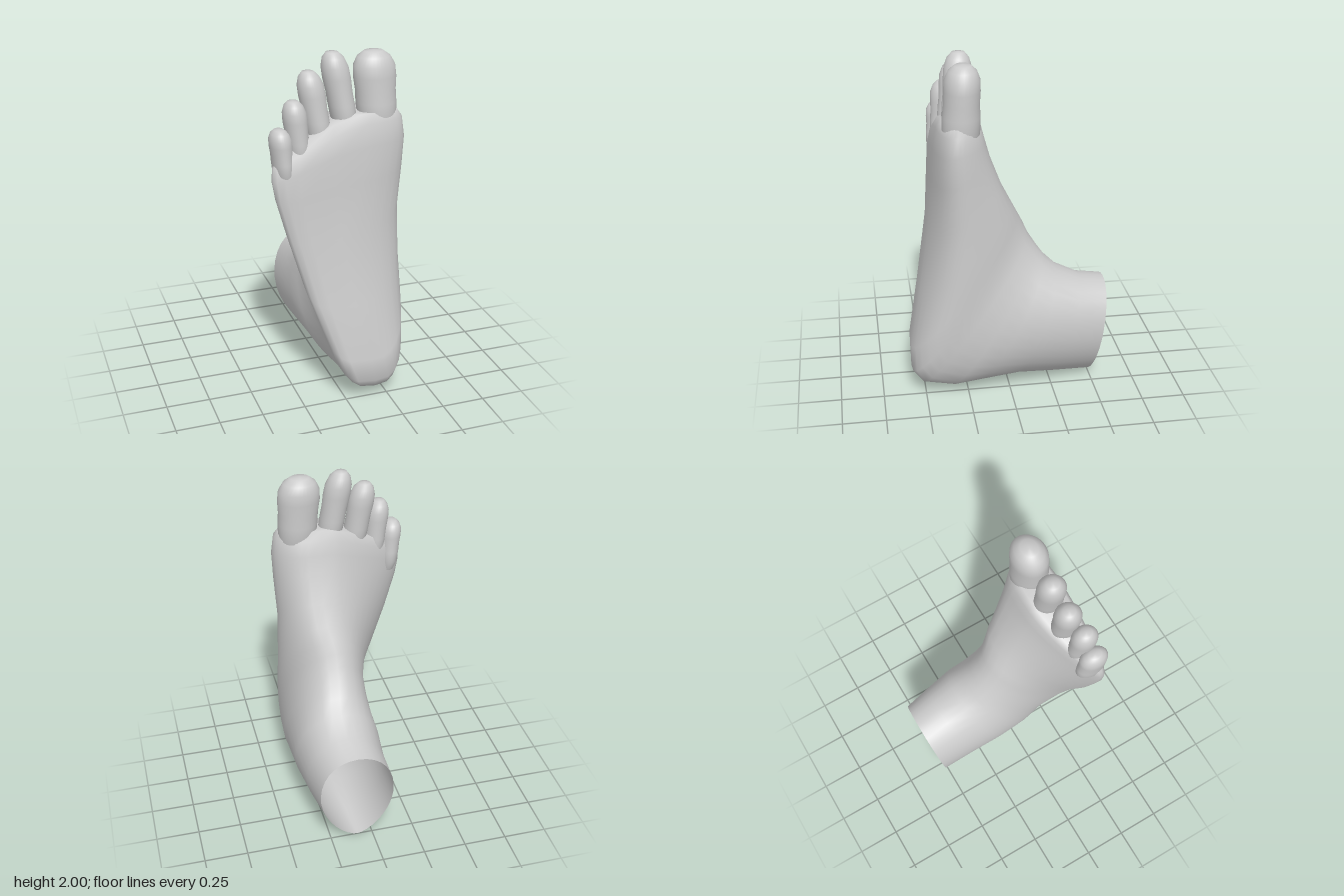
import * as THREE from 'three';

const SEG = 32;
const material = new THREE.MeshStandardMaterial({ color: 0xcccccc, side: THREE.DoubleSide });

// Skin a list of rings (each SEG points) with smooth normals and a closing tip
function loft(name, rings, tip) {
  const pos = [...rings.flat(), tip].flatMap(p => [p.x, p.y, p.z]);
  const index = [];
  for (let i = 0; i < rings.length; i++) {
    for (let j = 0; j < SEG; j++) {
      const k = (j + 1) % SEG;
      const a = i * SEG + j, b = i * SEG + k, c = a + SEG, d = b + SEG;
      if (i < rings.length - 1) index.push(a, c, b, b, c, d);
      else index.push(a, rings.length * SEG, b);
    }
  }
  const geometry = new THREE.BufferGeometry();
  geometry.setAttribute('position', new THREE.Float32BufferAttribute(pos, 3));
  geometry.setIndex(index);
  geometry.computeVertexNormals();
  const mesh = new THREE.Mesh(geometry, material);
  mesh.name = name;
  return mesh;
}

// Sections fan from the ankle opening round the heel to the ball of the foot.
// instep y, z, centre x, half width | sole y, z, centre x, half width
const SECTIONS = [
  [0.63, -0.58, 0.11, 0.24, 0.00, -0.50, 0.09, 0.19],
  [0.66, -0.43, 0.13, 0.25, 0.02, -0.28, 0.11, 0.22],
  [0.73, -0.29, 0.13, 0.26, 0.05, -0.05, 0.13, 0.25],
  [0.80, -0.22, 0.12, 0.25, 0.04, 0.18, 0.15, 0.25],
  [0.87, -0.17, 0.11, 0.25, 0.035, 0.35, 0.18, 0.23],
  [0.95, -0.12, 0.11, 0.25, 0.07, 0.52, 0.17, 0.23],
  [1.02, -0.09, 0.11, 0.25, 0.14, 0.578, 0.15, 0.25],
  [1.08, -0.06, 0.12, 0.25, 0.28, 0.58, 0.12, 0.28],
  [1.16, -0.02, 0.14, 0.23, 0.60, 0.515, 0.05, 0.345],
  [1.28, 0.04, 0.15, 0.215, 1.00, 0.45, -0.015, 0.405],
  [1.44, 0.10, 0.15, 0.215, 1.30, 0.43, -0.045, 0.455],
  [1.55, 0.13, 0.14, 0.22, 1.50, 0.42, -0.05, 0.47],
  [1.63, 0.15, 0.13, 0.21, 1.62, 0.40, -0.05, 0.46],
  [1.68, 0.18, 0.12, 0.18, 1.67, 0.37, -0.04, 0.42],
];
// Roundness of instep, outer sole edge and inner sole edge (arch), and slant of the toe line
const ROUNDNESS = [
  [0.95, 1.25, 1.25, 0], [0.95, 1.2, 1.2, 0], [0.95, 1.05, 1.05, 0], [0.95, 0.88, 0.9, 0],
  [0.95, 0.75, 0.8, 0], [0.95, 0.6, 0.68, 0], [0.92, 0.55, 0.68, 0], [0.9, 0.5, 0.8, 0],
  [0.82, 0.5, 1.15, 0], [0.76, 0.52, 1.0, 0.2], [0.72, 0.52, 0.7, 0.45], [0.68, 0.52, 0.55, 0.8],
  [0.65, 0.52, 0.55, 1], [0.68, 0.58, 0.6, 1],
];

function sectionRing([dy, dz, dx, dw, sy, sz, sx, sw], i) {
  const [instep, outer, inner, slant] = ROUNDNESS[i];
  return Array.from({ length: SEG }, (_, j) => {
    const a = j / SEG * Math.PI * 2, s = Math.sin(a);
    const t = (1 - Math.cos(a)) / 2;
    const mix = (p, q) => p + (q - p) * t;
    const power = t < 0.5 ? instep : s > 0 ? inner : outer;
    const x = mix(dx, sx) + mix(dw, sw) * Math.sign(s) * Math.pow(Math.abs(s), power);
    // toe line falls away towards the little toe
    const drop = slant * 0.5 * Math.pow(Math.max(0, 0.08 - x), 1.15);
    return new THREE.Vector3(x, mix(dy, sy) - drop, mix(dz, sz));
  });
}

// name, root (x, y, z), tip (x, y, z), half width, half depth
const TOES = [
  ['bigToe', [0.25, 1.52, 0.275], [0.225, 1.99, 0.252], 0.12, 0.1],
  ['secondToe', [0.07, 1.52, 0.28], [-0.01, 2.0, 0.25], 0.077, 0.08],
  ['thirdToe', [-0.08, 1.46, 0.295], [-0.15, 1.91, 0.265], 0.074, 0.076],
  ['fourthToe', [-0.21, 1.39, 0.32], [-0.25, 1.77, 0.315], 0.066, 0.075],
  ['littleToe', [-0.305, 1.32, 0.33], [-0.332, 1.625, 0.33], 0.062, 0.082],
];
// position along toe, relative width, relative depth
const TOE_PROFILE = [
  [0, 0.65, 0.75], [0.2, 0.9, 1.05], [0.4, 0.94, 1.04], [0.55, 0.94, 0.98],
  [0.7, 1, 1], [0.83, 0.97, 0.97], [0.93, 0.77, 0.77], [0.99, 0.45, 0.45],
];

function toe([name, root, tip, w, d]) {
  const a = new THREE.Vector3(...root), b = new THREE.Vector3(...tip);
  const rings = TOE_PROFILE.map(([t, rw, rd]) => {
    const c = a.clone().lerp(b, t);
    return Array.from({ length: SEG }, (_, j) => {
      const u = j / SEG * Math.PI * 2;
      return new THREE.Vector3(c.x + w * rw * Math.sin(u), c.y, c.z - d * rd * Math.cos(u));
    });
  });
  return loft(name, rings, b);
}

export function createModel() {
  const group = new THREE.Group();
  group.name = 'foot';
  // Ankle (left open), heel, sole and instep in one skin
  group.add(loft('footBody', SECTIONS.map(sectionRing), new THREE.Vector3(0.03, 1.66, 0.28)));
  const toes = new THREE.Group();
  toes.name = 'toes';
  TOES.forEach(spec => toes.add(toe(spec)));
  group.add(toes);
  return group;
}
